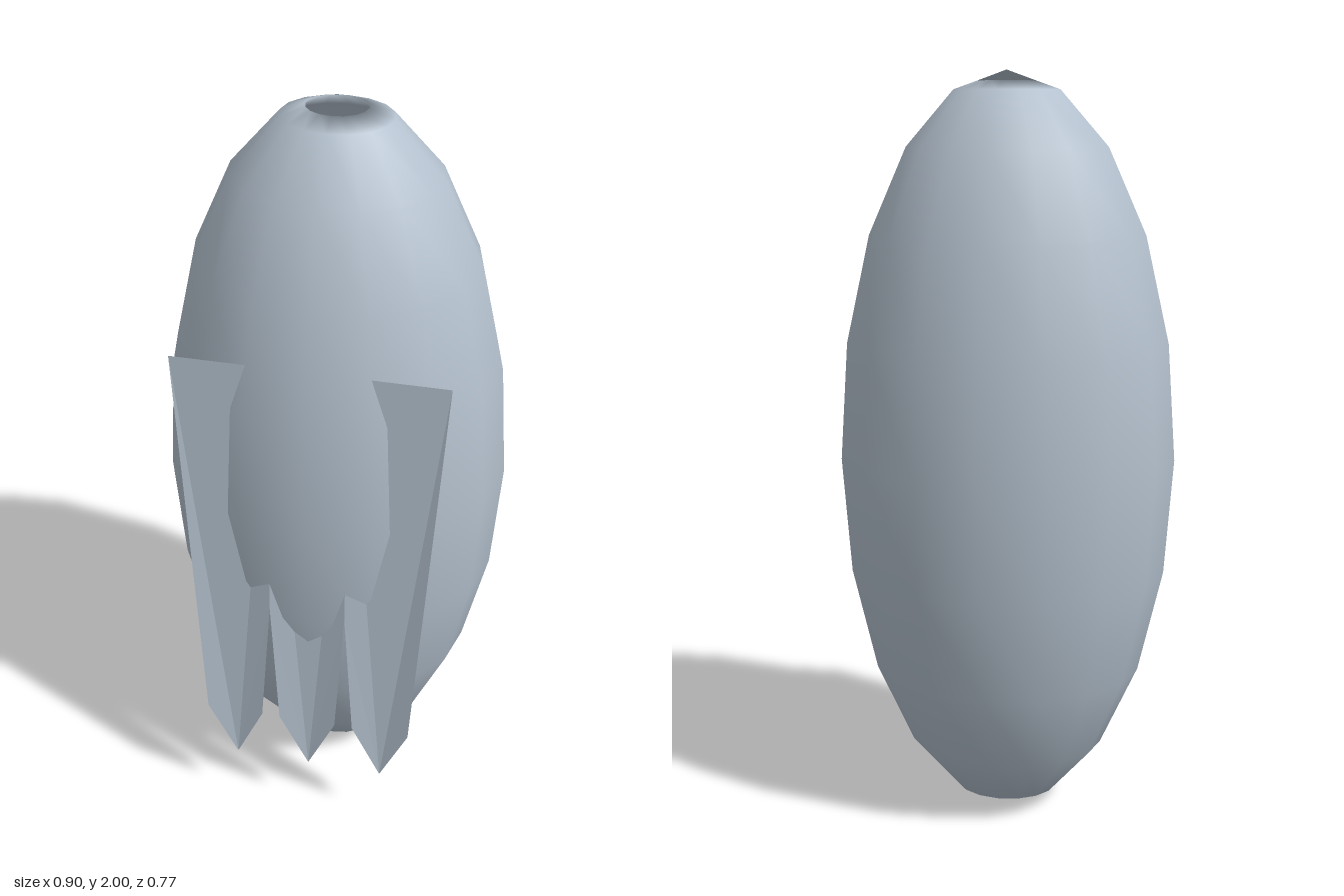
import * as THREE from 'three';

const H = 1, RX = 0.45, RZ = 0.385;
const depth = RZ / RX;

// Points of an ellipse profile between two ring numbers (0 = bottom, 10 = top)
function profile(from, to, r, h) {
  const points = [];
  const step = Math.sign(to - from);
  for (let i = from; i !== to + step; i += step) {
    const a = (i * Math.PI) / 10;
    points.push(new THREE.Vector2(Math.max(0, r * Math.sin(a)), H - h * Math.cos(a)));
  }
  return points;
}

function lathe(points, material, name) {
  const geometry = new THREE.LatheGeometry(points, 16);
  geometry.scale(1, 1, depth);
  const mesh = new THREE.Mesh(geometry, material);
  mesh.name = name;
  return mesh;
}

export function createModel() {
  const group = new THREE.Group();
  group.name = 'podWithFins';
  const shellColor = new THREE.MeshStandardMaterial({ color: 0xb4c1ce });
  shellColor.name = 'paleSteel';
  const plateColor = shellColor.clone();
  plateColor.side = THREE.DoubleSide;
  plateColor.flatShading = true;

  // Hollow egg-shaped shell: outer wall up to the mouth, then the inner wall back down
  const rim = new THREE.Vector2(0.076, 1.973);
  const shell = [...profile(0, 9, RX, 1), rim, ...profile(9, 0, 0.43, 0.98)];
  group.add(lathe(shell, shellColor, 'shell'));

  // Inward-facing tip above the mouth
  group.add(lathe([new THREE.Vector2(0, 2), rim.clone()], shellColor, 'innerTip'));

  // Three-pronged folded plate on the front
  const top = 1.435, topZ = 0.315;
  const prong = (outer, notchOuter, x, notchInner, inner) => {
    const tip = [x, 0.18, 0.371];
    const edge = [
      [outer, top, topZ],
      ...(notchOuter === null ? [] : [[notchOuter, 0.72, 0.361]]),
      [x - 0.077, 0.35, 0.38],
      tip,
      [x + 0.077, 0.35, 0.38],
      ...(notchInner === null ? [] : [[notchInner, 0.72, 0.361]]),
      [inner, top, topZ],
    ];
    // Fan from the tip so every prong folds along its middle
    const t = edge.indexOf(tip), n = edge.length, out = [];
    for (let i = 1; i < n - 1; i++) {
      out.push(...tip, ...edge[(t + i) % n], ...edge[(t + i + 1) % n]);
    }
    return out;
  };
  const prongs = [
    ['rightProng', -0.345, null, -0.203, -0.1, -0.1],
    ['middleProng', -0.1, -0.1, 0, 0.1, 0.1],
    ['leftProng', 0.1, 0.1, 0.203, null, 0.345],
  ];
  for (const [name, ...shape] of prongs) {
    const geometry = new THREE.BufferGeometry();
    geometry.setAttribute('position', new THREE.Float32BufferAttribute(prong(...shape), 3));
    geometry.computeVertexNormals();
    const mesh = new THREE.Mesh(geometry, plateColor);
    mesh.name = name;
    group.add(mesh);
  }
  return group;
}
